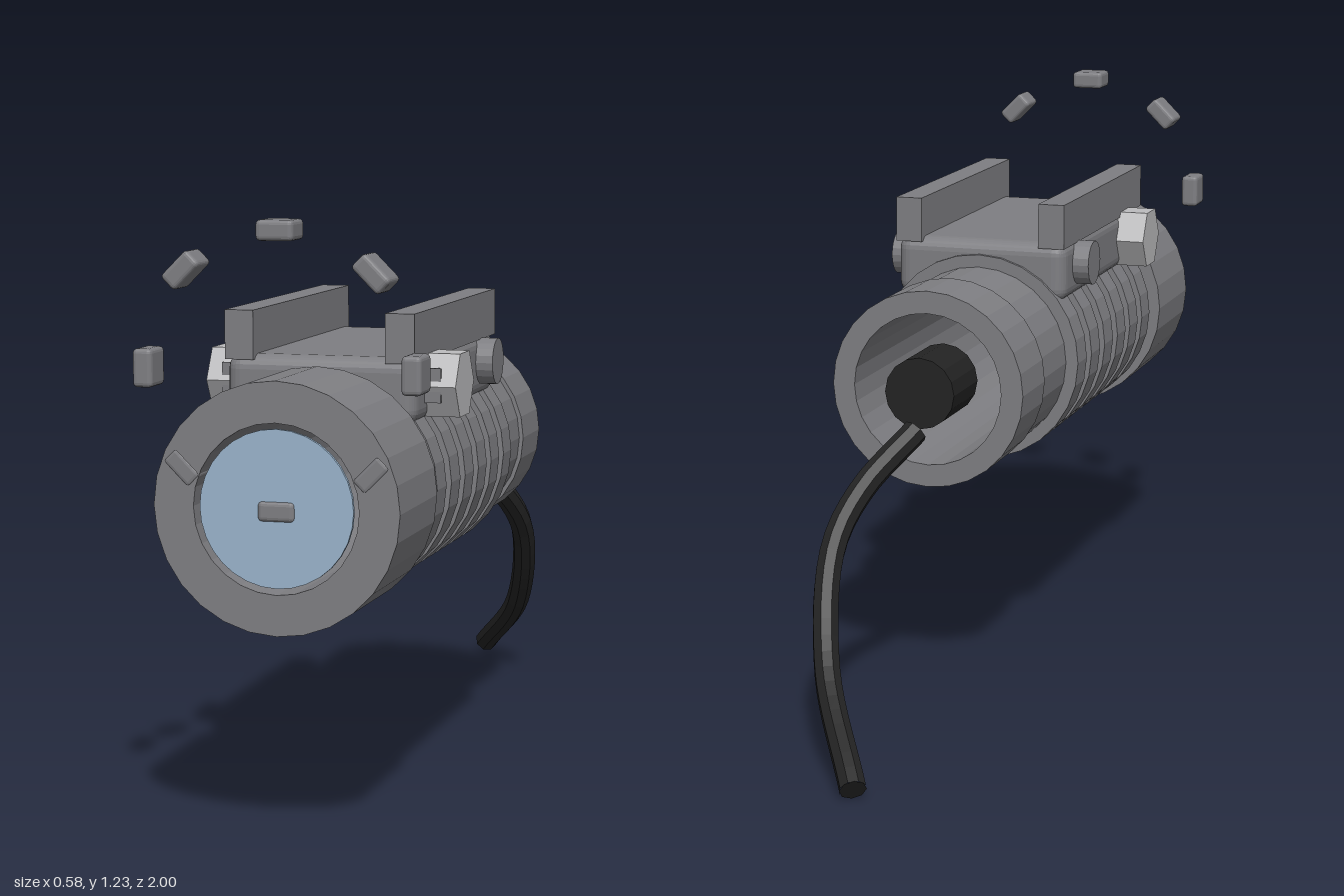
import * as THREE from 'three';
import { RoundedBoxGeometry } from 'three/addons/geometries/RoundedBoxGeometry.js';

const AXIS_Y = 0.684;

function material(name, color) {
  const m = new THREE.MeshStandardMaterial({ color, flatShading: true });
  m.name = name;
  return m;
}

export function createModel() {
  const model = new THREE.Group();
  model.name = 'railLight';
  const grey = material('gunmetal grey', 0x7e7e82);
  const steel = material('light steel', 0xbcbcbe);
  const black = material('black rubber', 0x232323);
  const glass = material('pale blue glass', 0x9ab4cc);

  const add = (name, geometry, mat, x = 0, y = 0, z = 0) => {
    const mesh = new THREE.Mesh(geometry, mat);
    mesh.name = name;
    mesh.position.set(x, y, z);
    model.add(mesh);
    return mesh;
  };

  // Hollow ring along z, walls closed on all sides
  const ring = (name, inner, outer, z0, z1) => {
    const profile = [[inner, z1], [inner, z0], [outer, z0], [outer, z1], [inner, z1]]
      .map(([r, z]) => new THREE.Vector2(r, z));
    return add(name, new THREE.LatheGeometry(profile, 28).rotateX(Math.PI / 2), grey, 0, AXIS_Y);
  };

  // Tubular housing, open at the back
  ring('bezel', 0.167, 0.248, 0.73, 0.998);
  ring('body', 0.167, 0.207, -0.14, 0.73);
  ring('rearCap', 0.167, 0.216, -0.3, -0.14);
  for (let i = 0; i < 6; i++) {
    const z = 0.09 + i * 0.111;
    ring('gripRib', 0.2, 0.235, z - 0.036, z + 0.036);
  }

  // Lens
  add('lens', new THREE.CylinderGeometry(0.155, 0.155, 0.008, 32).rotateX(Math.PI / 2), glass, 0, AXIS_Y, 0.991);

  // Mounting block with two rails
  add('mountBlock', new RoundedBoxGeometry(0.396, 0.135, 0.655, 3, 0.03), grey, 0, 0.883, 0.39);
  for (const side of [-1, 1]) {
    add('rail', new THREE.BoxGeometry(0.06, 0.1, 0.66), grey, side * 0.168, 0.99, 0.39);

    // Clamp bolt with a small shaded recess plate, and a round screw behind it
    add('hexBolt', new THREE.CylinderGeometry(0.074, 0.074, 0.075, 6).rotateZ(Math.PI / 2).rotateX(Math.PI / 2),
      steel, side * 0.226, 0.888, 0.575).rotation.x = Math.PI / 2;
    add('boltRecess', new THREE.BoxGeometry(0.035, 0.07, 0.006), grey, side * 0.214, 0.89, 0.64);
    add('roundScrew', new THREE.CylinderGeometry(0.05, 0.05, 0.05, 20).rotateZ(Math.PI / 2),
      grey, side * 0.21, 0.893, 0.18);
  }

  // Circle of eight small prongs
  for (let i = 0; i < 8; i++) {
    const a = i * Math.PI / 4;
    add('prong', new RoundedBoxGeometry(0.04, 0.075, 0.075, 2, 0.009), grey,
      0.269 * Math.cos(a), 0.948 + 0.269 * Math.sin(a), 0.9625).rotation.z = a;
  }

  // Rear plug
  add('plug', new THREE.CylinderGeometry(0.078, 0.078, 0.16, 16).rotateX(Math.PI / 2), black, 0, 0.686, -0.27);

  // Trailing cable with capped ends
  const path = new THREE.CatmullRomCurve3([
    [0, 0.61, -0.375], [0.077, 0.505, -0.5], [0.105, 0.4, -0.6], [0.06, 0.195, -0.755], [-0.08, 0.028, -0.98],
  ].map((p) => new THREE.Vector3(...p)));
  add('cable', new THREE.TubeGeometry(path, 24, 0.028, 8), black);
  for (const t of [0, 1]) {
    const cap = add('cableEnd', new THREE.CircleGeometry(0.028, 8), black);
    const end = path.getPoint(t);
    cap.position.copy(end);
    cap.lookAt(end.add(path.getTangent(t).multiplyScalar(t ? 1 : -1)));
  }
  return model;
}
